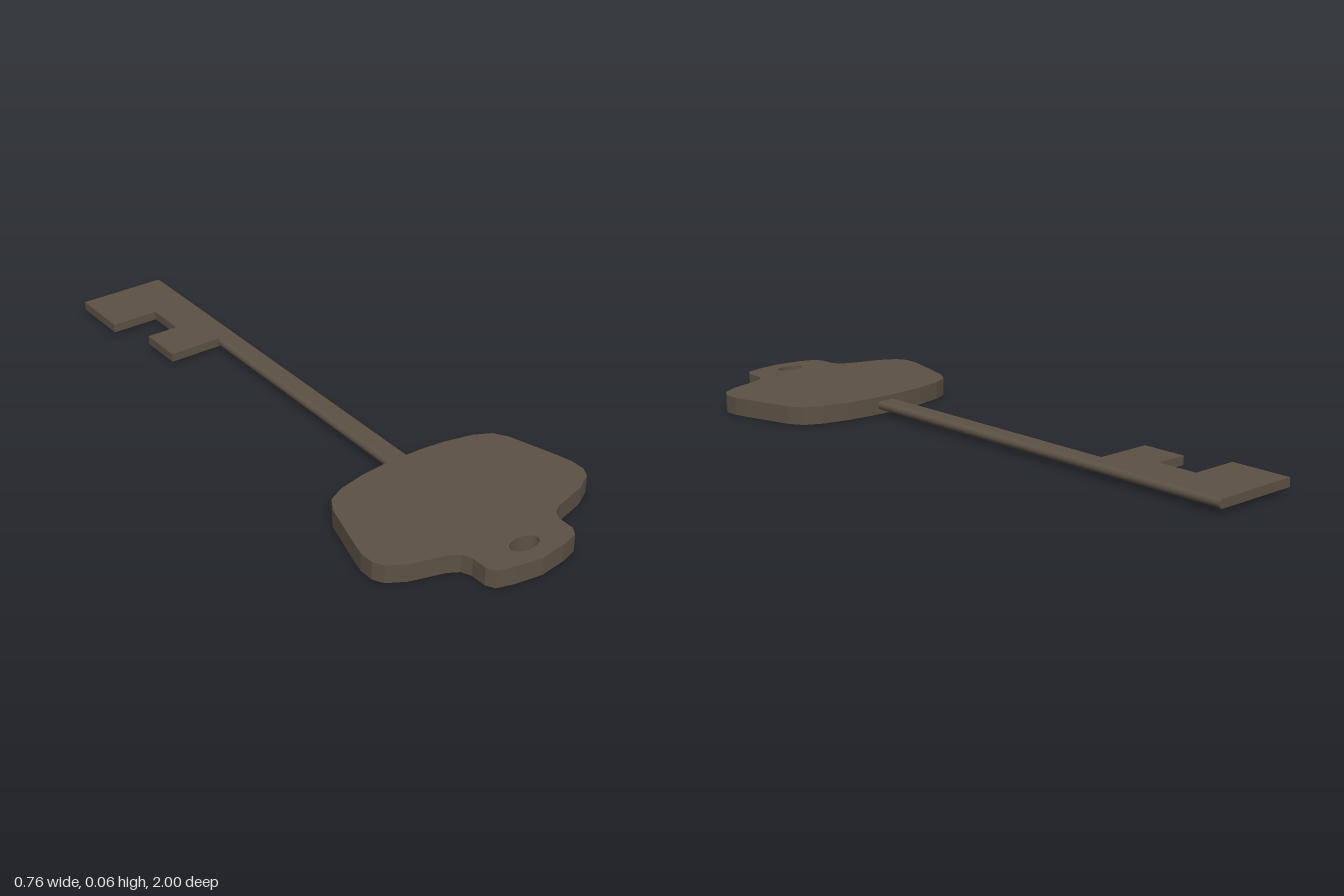
import * as THREE from 'three';

const material = new THREE.MeshStandardMaterial({ color: 0x5c5244, flatShading: true });

// Plate lying flat: outline in (x, z), from bottom to top in y
function plate(name, shape, bottom, top) {
  const geometry = new THREE.ExtrudeGeometry(shape, {
    depth: top - bottom, bevelEnabled: false, curveSegments: 12,
  });
  geometry.rotateX(Math.PI / 2).translate(0, top, 0);
  const mesh = new THREE.Mesh(geometry, material);
  mesh.name = name;
  return mesh;
}

const toShape = (points) => new THREE.Shape(points.map(([x, y]) => new THREE.Vector2(x, y)));

export function createModel() {
  const key = new THREE.Group();
  key.name = 'key';

  // Bow: half outline mirrored across x = 0, with an oval ring hole
  const half = [
    [0, 0.4], [0.07, 0.402], [0.15, 0.41], [0.24, 0.43], [0.293, 0.457], [0.32, 0.5],
    [0.343, 0.578], [0.367, 0.66], [0.378, 0.705], [0.378, 0.752], [0.36, 0.785],
    [0.306, 0.816], [0.2, 0.846], [0.167, 0.865], [0.154, 0.895], [0.154, 0.945],
    [0.138, 0.972], [0.085, 0.988], [0, 1],
  ];
  const mirrored = half.slice(1, -1).reverse().map(([x, z]) => [-x, z]);
  const bowShape = toShape([...half, ...mirrored]);
  const hole = new THREE.Path();
  hole.absellipse(0, 0.923, 0.048, 0.028, 0, Math.PI * 2, true);
  bowShape.holes.push(hole);
  key.add(plate('bow', bowShape, 0, 0.057));

  // Shaft: flat bar with rounded long edges, running from the bow to the tip
  const section = new THREE.Shape();
  section.absellipse(0.023, 0, 0.014, 0.014, -Math.PI / 2, Math.PI / 2, false);
  section.absellipse(-0.023, 0, 0.014, 0.014, Math.PI / 2, Math.PI * 1.5, false);
  const shaftGeometry = new THREE.ExtrudeGeometry(section, {
    depth: 1.42, bevelEnabled: false, curveSegments: 6,
  });
  shaftGeometry.translate(0, 0.0285, -1);
  const shaft = new THREE.Mesh(shaftGeometry, material);
  shaft.name = 'shaft';
  key.add(shaft);

  // Bit: two square teeth joined by a narrow web
  const bitShape = toShape([
    [0, -1], [0, -0.52], [-0.21, -0.52], [-0.21, -0.667],
    [-0.105, -0.667], [-0.105, -0.8], [-0.262, -0.8], [-0.262, -1],
  ]);
  key.add(plate('bit', bitShape, 0.0145, 0.0425));

  return key;
}
